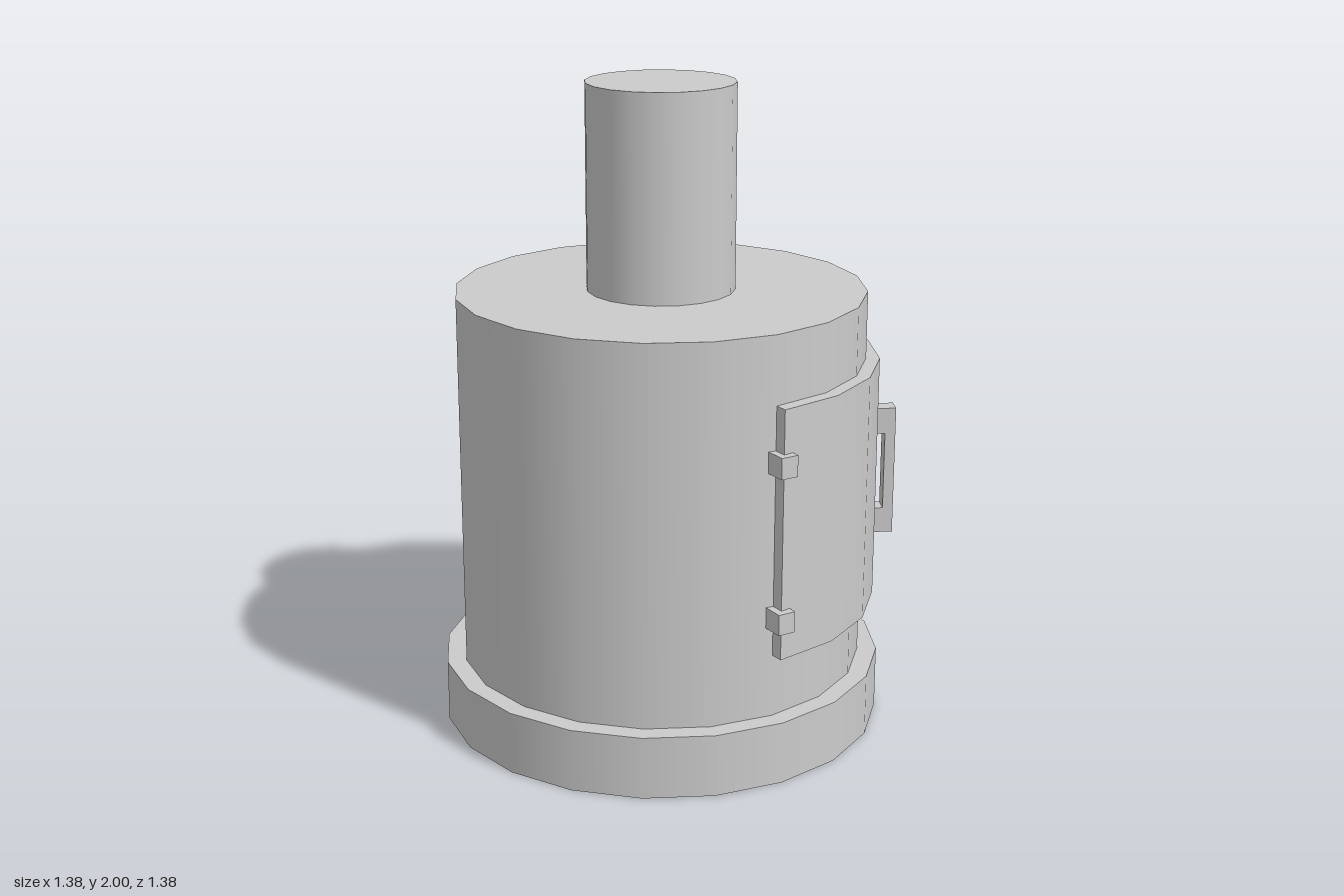
import * as THREE from 'three';
import { toCreasedNormals } from 'three/addons/utils/BufferGeometryUtils.js';

const SIDES = 20;
const STEP = (Math.PI * 2) / SIDES;
const BODY_R = 0.63;

export function createModel() {
  const model = new THREE.Group();
  model.name = 'stove';
  const material = new THREE.MeshStandardMaterial({ color: 0xcccccc });

  function add(name, geometry, parent = model) {
    const mesh = new THREE.Mesh(geometry, material);
    mesh.name = name;
    parent.add(mesh);
    return mesh;
  }

  // Upright cylinder standing between two heights
  function drum(name, radius, bottom, top) {
    const g = new THREE.CylinderGeometry(radius, radius, top - bottom, SIDES);
    add(name, g.translate(0, (bottom + top) / 2, 0));
  }

  // Plate made from an outline in plan (x, -z), raised between two heights
  function plate(name, points, bottom, top) {
    const shape = new THREE.Shape(points);
    const g = new THREE.ExtrudeGeometry(shape, { depth: top - bottom, bevelEnabled: false });
    g.rotateX(-Math.PI / 2).translate(0, bottom, 0);
    add(name, toCreasedNormals(g, 0.5));
  }

  const polar = (r, a) => new THREE.Vector2(r * Math.cos(a), r * Math.sin(a));

  // Base, firebox and flue
  drum('base', 0.69, 0, 0.195);
  drum('body', BODY_R, 0.195, 1.37);
  drum('chimney', 0.228, 1.37, 2);

  // Curved door over four facets of the left side
  const inner = [], outer = [];
  for (let i = -2; i <= 2; i++) {
    outer.push(polar(0.672, i * STEP));
    inner.unshift(polar(BODY_R - 0.003, i * STEP));
  }
  plate('door', [...outer, ...inner], 0.39, 1.16);

  // Flat panel over one facet of the right side
  const a = polar(BODY_R, Math.PI - STEP), b = polar(BODY_R, Math.PI);
  const out = polar(0.045, Math.PI - STEP / 2);
  plate('sidePanel', [a.clone().add(out), b.clone().add(out), b, a], 0.39, 1.16);

  // Hinges on the front edge of the door
  const hinges = new THREE.Group();
  hinges.name = 'hinges';
  hinges.rotation.y = -2 * STEP;
  model.add(hinges);
  for (const y of [0.513, 0.993]) {
    add('hinge', new THREE.BoxGeometry(0.068, 0.065, 0.056), hinges).position.set(0.66, y, -0.005);
  }

  // C-shaped handle near the back edge of the door
  const profile = new THREE.Shape([
    [0.655, 0.545], [0.744, 0.545], [0.744, 0.96], [0.655, 0.96],
    [0.655, 0.877], [0.711, 0.877], [0.711, 0.627], [0.655, 0.627],
  ].map(([x, y]) => new THREE.Vector2(x, y)));
  const grip = new THREE.ExtrudeGeometry(profile, { depth: 0.057, bevelEnabled: false });
  add('doorHandle', grip.translate(0, 0, -0.0715)).rotation.y = 1.5 * STEP;

  return model;
}
